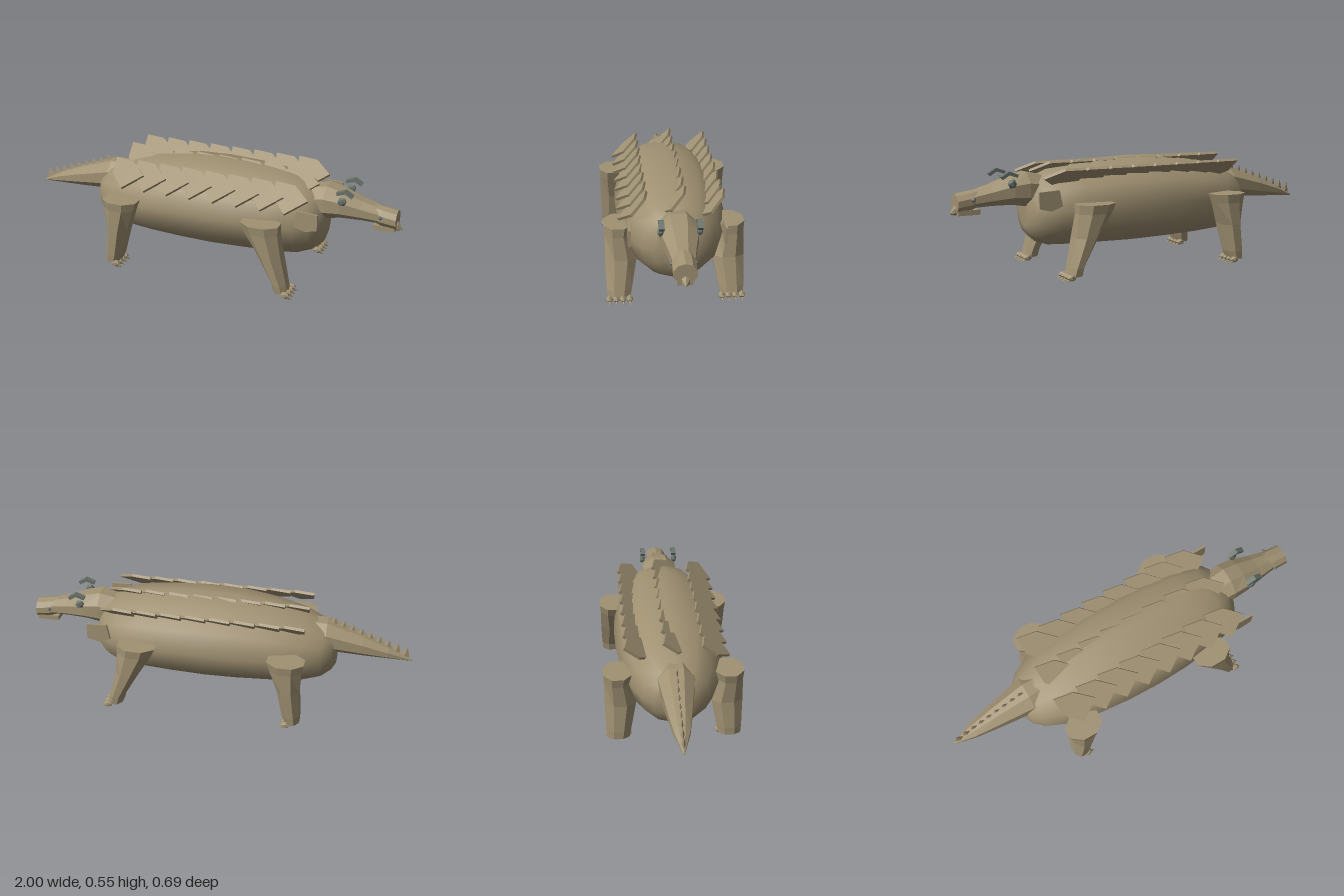
import * as THREE from 'three';

const hide = new THREE.MeshStandardMaterial({ color: 0xa09172 });
hide.name = 'tan hide';
const eyeGrey = new THREE.MeshStandardMaterial({ color: 0x68726a });
eyeGrey.name = 'eye grey';

// Closed skin over a list of rings, which run counter-clockwise about the direction of travel
function skin(rings, smooth) {
  const n = rings[0].length, pos = [], idx = [];
  rings.forEach(r => r.forEach(p => pos.push(...p)));
  for (let i = 0; i < rings.length - 1; i++) {
    for (let j = 0; j < n; j++) {
      const a = i * n + j, b = i * n + (j + 1) % n;
      idx.push(a, b, a + n, b, b + n, a + n);
    }
  }
  const last = (rings.length - 1) * n;
  for (let j = 1; j < n - 1; j++) {
    idx.push(0, j + 1, j);
    idx.push(last, last + j, last + j + 1);
  }
  let g = new THREE.BufferGeometry();
  g.setAttribute('position', new THREE.Float32BufferAttribute(pos, 3));
  g.setIndex(idx);
  if (!smooth) g = g.toNonIndexed();
  g.computeVertexNormals();
  return g;
}

// Sections along x: [x, bottom, top, half width]
function loftX(sections, sides, smooth = false, turn = 0) {
  return skin(sections.map(([x, lo, hi, w]) => Array.from({ length: sides }, (_, j) => {
    const a = (j / sides) * Math.PI * 2 + turn;
    return [x, (lo + hi) / 2 + Math.cos(a) * (hi - lo) / 2, Math.sin(a) * w];
  })), smooth);
}

// Sections along y: [y, x min, x max, z min, z max]
function loftY(sections, sides) {
  return skin(sections.map(([y, x0, x1, z0, z1]) => Array.from({ length: sides }, (_, j) => {
    const a = ((j + 0.5) / sides) * Math.PI * 2, k = 1 / Math.cos(Math.PI / sides);
    return [(x0 + x1) / 2 + Math.sin(a) * k * (x1 - x0) / 2, y,
      (z0 + z1) / 2 + Math.cos(a) * k * (z1 - z0) / 2];
  })), false);
}

// Pentagonal scute leaning back and across, with a little thickness
function scuteGeometry() {
  const along = new THREE.Vector3(-0.11, 0.06, -0.09);
  const across = new THREE.Vector3(0.05, 0.03, -0.03);
  const thick = new THREE.Vector3().crossVectors(across, along).normalize().multiplyScalar(0.007);
  const outline = [[-1, -0.25], [1, -0.25], [0.95, 0.5], [0, 1], [-0.95, 0.5]];
  const ring = s => outline.map(([u, v]) => new THREE.Vector3(0.05, -0.05, 0.035)
    .addScaledVector(across, u).addScaledVector(along, v).addScaledVector(thick, s).toArray());
  return skin([ring(-1), ring(1)], false);
}

export function createModel() {
  const model = new THREE.Group();
  model.name = 'armouredReptile';
  const add = (name, geometry, material = hide, parent = model) => {
    const m = new THREE.Mesh(geometry, material);
    m.name = name;
    parent.add(m);
    return m;
  };

  // Barrel body
  add('body', loftX([
    [-0.62, 0.23, 0.39, 0.06], [-0.6, 0.2, 0.42, 0.115], [-0.55, 0.165, 0.455, 0.165],
    [-0.45, 0.14, 0.5, 0.215], [-0.3, 0.13, 0.535, 0.25], [-0.12, 0.123, 0.56, 0.27],
    [0.05, 0.12, 0.565, 0.275], [0.22, 0.124, 0.558, 0.268], [0.38, 0.128, 0.545, 0.247],
    [0.5, 0.135, 0.52, 0.215], [0.57, 0.16, 0.485, 0.17], [0.61, 0.195, 0.44, 0.12],
    [0.625, 0.24, 0.39, 0.06],
  ], 12, true));

  // Tail with a crest of small spikes
  add('tail', loftX([
    [-1, 0.283, 0.289, 0.003], [-0.88, 0.29, 0.355, 0.042], [-0.75, 0.295, 0.41, 0.066],
    [-0.565, 0.307, 0.475, 0.095], [-0.5, 0.307, 0.475, 0.09],
  ], 8, false, Math.PI / 8));
  for (let i = 0; i < 9; i++) {
    const spike = add('tailSpike', new THREE.ConeGeometry(0.028, 0.05, 4).toNonIndexed());
    spike.geometry.computeVertexNormals();
    spike.position.set(-0.965 + i * 0.046, 0.335 + i * 0.0165, 0);
    spike.scale.z = 0.35;
    spike.rotation.z = 0.3;
  }

  // Three rows of scutes along the back
  const scute = scuteGeometry();
  for (const [z, y] of [[-0.186, 0.526], [0, 0.545], [0.186, 0.526]]) {
    for (let i = 0; i < 8; i++) {
      add('scute', scute, hide).position.set(-0.415 + i * 0.124, y, z);
    }
  }

  // Head, snout, jaw and beak
  add('head', loftX([
    [0.54, 0.335, 0.5, 0.092], [0.62, 0.335, 0.518, 0.1], [0.7, 0.35, 0.498, 0.095],
    [0.8, 0.352, 0.46, 0.072], [0.9, 0.348, 0.432, 0.054],
  ], 8, false, Math.PI / 8));
  add('snout', loftX([
    [0.86, 0.352, 0.442, 0.05], [0.9, 0.337, 0.437, 0.057], [0.975, 0.328, 0.425, 0.055],
  ], 10));
  const jaw = add('lowerJaw', new THREE.BoxGeometry(0.11, 0.025, 0.07));
  jaw.position.set(0.915, 0.332, 0);
  add('beak', loftX([[0.955, 0.32, 0.375, 0.028], [0.98, 0.32, 0.365, 0.02], [1, 0.326, 0.334, 0.003]], 6));

  // Eyes, brows, nostrils and shoulder plates
  for (const s of [-1, 1]) {
    const eye = add('eye', new THREE.IcosahedronGeometry(0.024, 0), eyeGrey);
    eye.position.set(0.715, 0.465, s * 0.09);
    eye.scale.set(1, 1, 0.65);
    for (const [x, y, tilt] of [[0.71, 0.51, 0.35], [0.748, 0.508, -0.55]]) {
      const brow = add('brow', new THREE.BoxGeometry(0.048, 0.016, 0.025), eyeGrey);
      brow.position.set(x, y, s * 0.087);
      brow.rotation.z = tilt;
    }
    const nostril = add('nostril', new THREE.OctahedronGeometry(0.012), eyeGrey);
    nostril.position.set(0.9, 0.395, s * 0.055);

    const plate = new THREE.Shape([[0.515, 0.36], [0.575, 0.34], [0.635, 0.355], [0.635, 0.435], [0.53, 0.44]]
      .map(p => new THREE.Vector2(...p)));
    add('shoulderPlate', new THREE.ExtrudeGeometry(plate, { depth: 0.012, bevelEnabled: false }))
      .position.z = s * 0.226 - 0.006;
  }

  // Legs: [y, x min, x max, z min, z max] for the left side
  const legs = {
    frontLeg: { toeX: 0.515, rings: [[0.03, 0.445, 0.52, 0.22, 0.33], [0.07, 0.435, 0.51, 0.212, 0.334],
      [0.21, 0.355, 0.475, 0.185, 0.338], [0.325, 0.285, 0.46, 0.21, 0.338], [0.37, 0.265, 0.46, 0.2, 0.343]] },
    backLeg: { toeX: -0.41, rings: [[0.03, -0.475, -0.4, 0.22, 0.33], [0.07, -0.475, -0.385, 0.212, 0.334],
      [0.21, -0.465, -0.355, 0.185, 0.338], [0.325, -0.475, -0.315, 0.21, 0.338], [0.37, -0.485, -0.3, 0.2, 0.343]] },
  };
  for (const [name, { toeX, rings }] of Object.entries(legs)) {
    for (const s of [-1, 1]) {
      const leg = new THREE.Group();
      leg.name = name;
      model.add(leg);
      const placed = rings.map(([y, a, b, c, d]) => s > 0 ? [y, a, b, c, d] : [y, a, b, -d, -c]);
      add('limb', loftY(placed, 8), hide, leg);
      // Four toes with pointed claws
      for (let i = 0; i < 4; i++) {
        const z = s * (0.224 + i * 0.033);
        const toe = add('toe', new THREE.IcosahedronGeometry(0.02, 0), hide, leg);
        toe.position.set(toeX, 0.028, z);
        toe.scale.set(1.3, 0.9, 0.9);
        const claw = add('claw', new THREE.ConeGeometry(0.014, 0.04, 5), hide, leg);
        claw.position.set(toeX + 0.018, 0.017, z);
        claw.rotation.z = -1.9;
      }
    }
  }
  return model;
}
